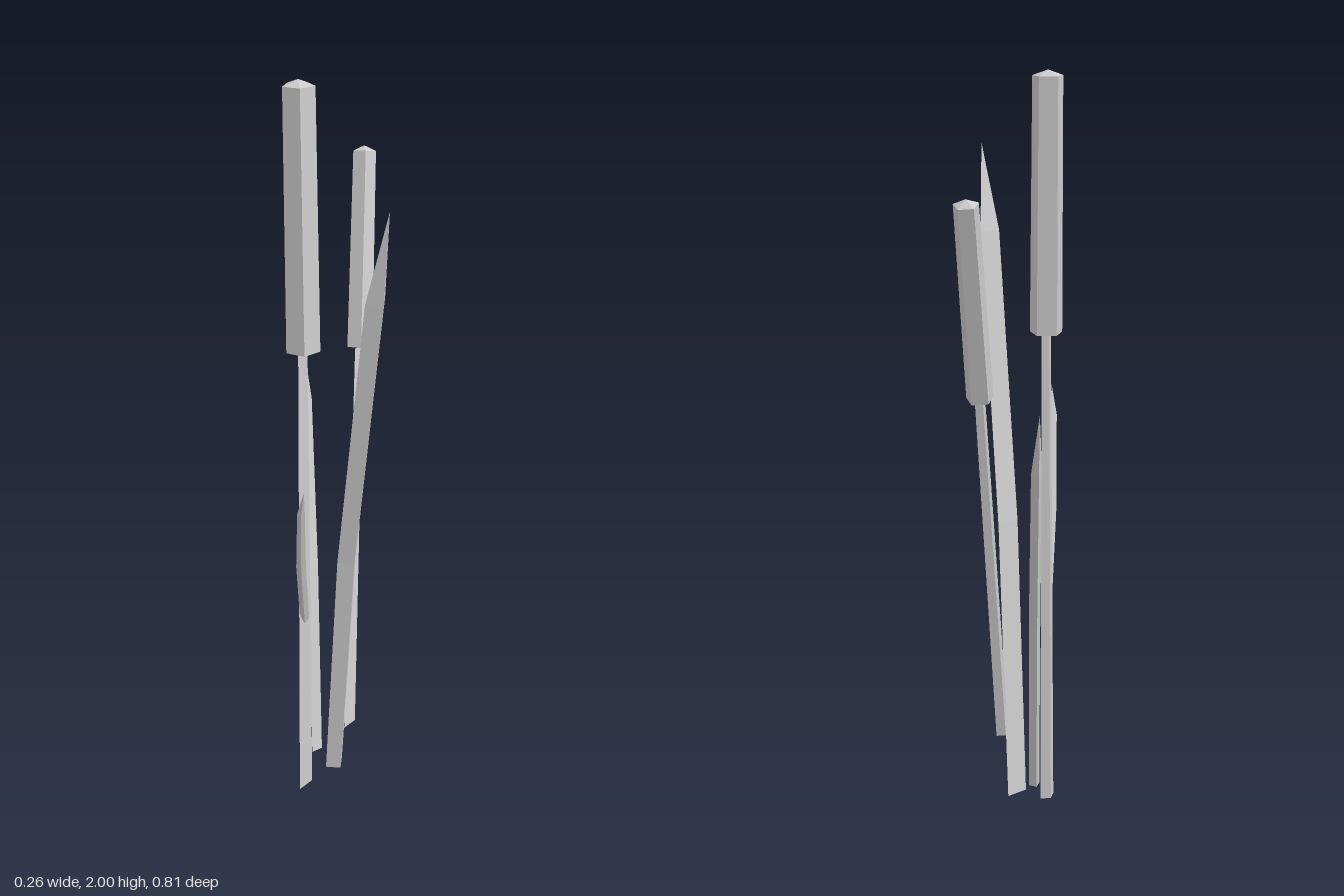
import * as THREE from 'three';

const V = (x, y, z) => new THREE.Vector3(x, y, z);
const UP = V(0, 1, 0);
const material = new THREE.MeshStandardMaterial({ color: 0xcccccc, flatShading: true });

// Seed head: closed five-sided tapered body with a shallow pointed cap
function seedHead(from, to, rBottom, rTop) {
  const axis = to.clone().sub(from);
  const length = axis.length();
  const profile = [[0, 0], [rBottom, 0], [rTop, length - 0.014], [0, length]]
    .map(([r, h]) => new THREE.Vector2(r, h));
  const mesh = new THREE.Mesh(new THREE.LatheGeometry(profile, 5, Math.PI / 2 - 0.14), material);
  mesh.name = 'seedHead';
  mesh.position.copy(from);
  mesh.quaternion.setFromUnitVectors(UP, axis.normalize());
  return mesh;
}

// Blade: closed triangular section (edge, keel, edge) swept along a spine;
// a scale of 0 closes it to a point
function blade(name, spine, half, keel, scales) {
  const positions = [];
  const index = [0, 2, 1];
  spine.forEach((p, i) => {
    const corners = [half.clone().negate(), keel, half];
    for (const c of corners) positions.push(...p.clone().addScaledVector(c, scales[i]).toArray());
    if (i === 0) return;
    for (let k = 0; k < 3; k++) {
      const a = (i - 1) * 3 + k;
      const b = (i - 1) * 3 + (k + 1) % 3;
      index.push(a, b, a + 3);
      if (scales[i] > 0) index.push(b, b + 3, a + 3);
    }
  });
  const geometry = new THREE.BufferGeometry();
  geometry.setAttribute('position', new THREE.Float32BufferAttribute(positions, 3));
  geometry.setIndex(index);
  geometry.computeVertexNormals();
  const mesh = new THREE.Mesh(geometry, material);
  mesh.name = name;
  return mesh;
}

// Reed: flattened three-sided stem carrying a seed head
function reed(name, { base, neck, top, half, keel, taper, head }) {
  const group = new THREE.Group();
  group.name = name;
  group.add(
    blade('stem', [base, neck], half, keel, [1, taper]),
    seedHead(neck, top, head[0], head[1]),
  );
  return group;
}

export function createModel() {
  const model = new THREE.Group();
  model.name = 'reeds';

  model.add(reed('tallReed', {
    base: V(-0.09, 0, 0.13), neck: V(-0.088, 1.345, 0.067), top: V(-0.095, 2, 0.014),
    half: V(-0.016, 0, 0.02), keel: V(-0.013, 0, -0.012), taper: 0.65, head: [0.044, 0.04],
  }));
  model.add(reed('shortReed', {
    base: V(0.032, 0.2, 0.095), neck: V(0.037, 1.226, -0.213), top: V(0.038, 1.72, -0.381),
    half: V(-0.014, 0, 0.018), keel: V(-0.011, 0, -0.01), taper: 0.75, head: [0.035, 0.031],
  }));

  // Tall leaf leaning forward
  model.add(blade('tallLeaf',
    [V(-0.014, 0.035, 0.067), V(0.026, 0.8, 0.157), V(0.096, 1.58, 0.287), V(0.127, 1.81, 0.34)],
    V(0.0215, 0, -0.0235), V(0.02, -0.004, 0.021), [1, 1.05, 1, 0]));

  // Small leaf branching off the tall stem
  model.add(blade('smallLeaf',
    [V(-0.09, 0.56, 0.1), V(-0.085, 0.82, 0.235), V(-0.071, 1.06, 0.365), V(-0.06, 1.14, 0.403)],
    V(0.012, 0, -0.003), V(0.001, -0.006, 0.009), [1, 1, 0.75, 0]));

  // Leaf leaning backward
  model.add(blade('backLeaf',
    [V(-0.063, 0.07, 0.06), V(-0.082, 0.6, -0.085), V(-0.106, 1.05, -0.236), V(-0.121, 1.21, -0.292)],
    V(-0.013, 0, 0.01), V(-0.008, -0.003, -0.011), [1, 1.05, 0.95, 0]));

  return model;
}
